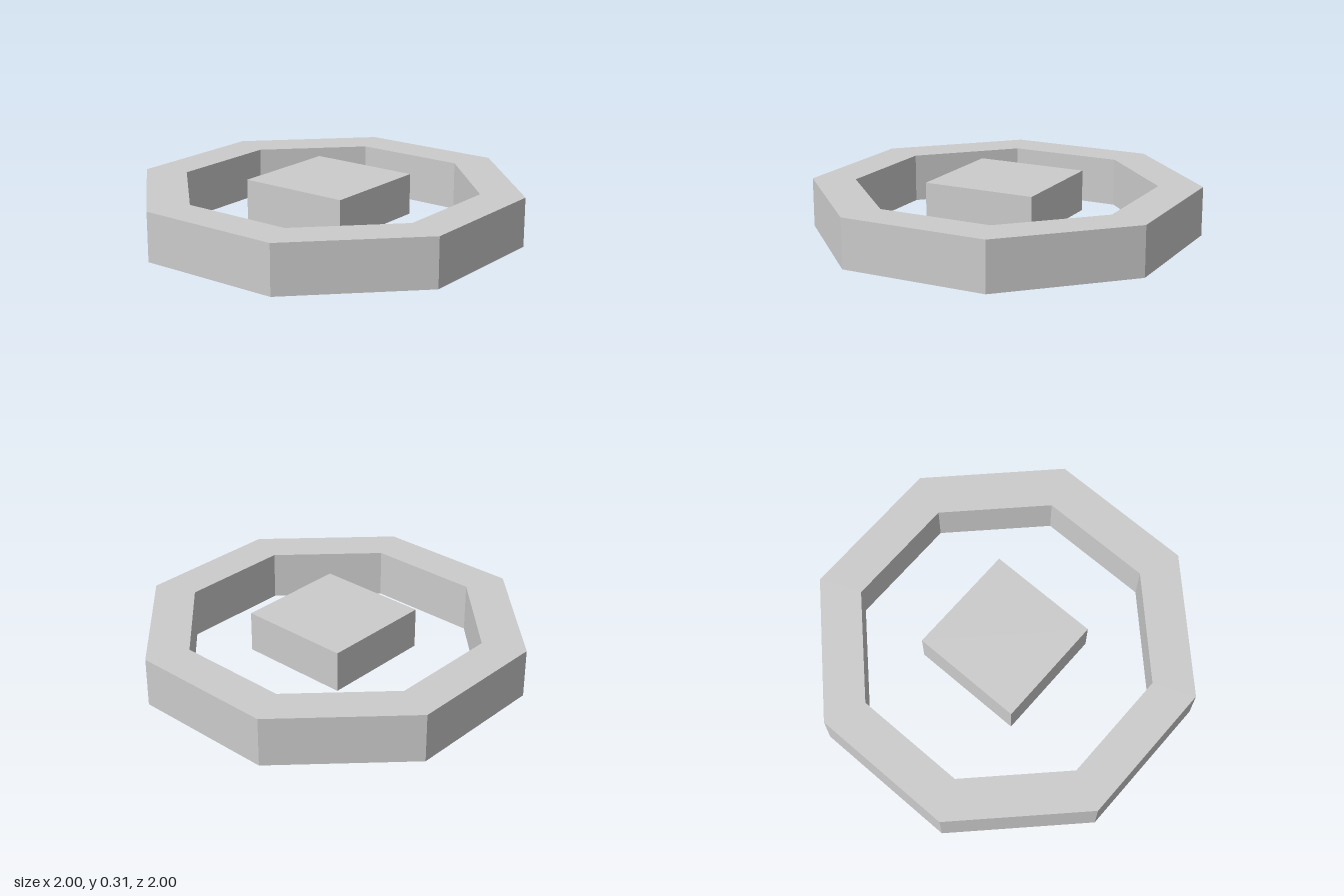
import * as THREE from 'three';

const material = new THREE.MeshStandardMaterial({ color: 0xcccccc, flatShading: true });

// Turns a profile of [apothem, height] points into a flat-sided prism,
// with flat sides facing the axes.
function prism(name, sides, profile) {
  const k = 1 / Math.cos(Math.PI / sides);
  const points = profile.map(([a, y]) => new THREE.Vector2(a * k, y));
  const geometry = new THREE.LatheGeometry(points, sides, Math.PI / sides).toNonIndexed();
  geometry.computeVertexNormals();
  const mesh = new THREE.Mesh(geometry, material);
  mesh.name = name;
  return mesh;
}

export function createModel() {
  const group = new THREE.Group();
  group.name = 'octagonalRingWithBlock';

  // Octagonal outer ring, closed rectangular section
  group.add(prism('outerRing', 8, [
    [0.775, 0], [1, 0], [1, 0.275], [0.775, 0.275], [0.775, 0],
  ]));

  // Floating square block with a shallow recess underneath
  group.add(prism('centreBlock', 4, [
    [0, 0.12], [0.228, 0.12], [0.228, 0.08], [0.32, 0.08], [0.32, 0.31], [0, 0.31],
  ]));

  return group;
}
